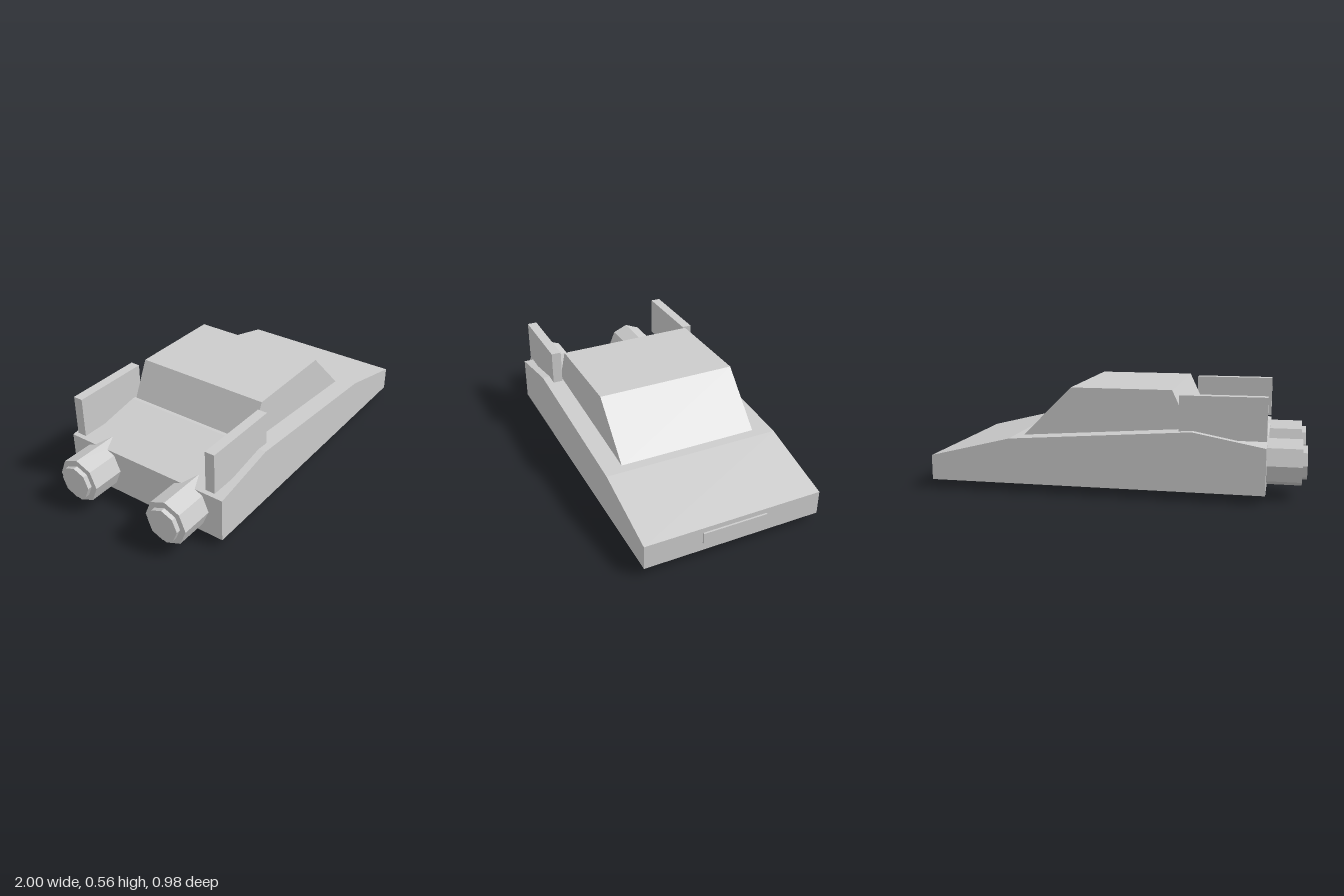
import * as THREE from 'three';

const material = new THREE.MeshStandardMaterial({ color: 0xcccccc, flatShading: true });

export function createModel() {
  const model = new THREE.Group();

  const add = (name, geometry, x = 0, y = 0, z = 0) => {
    const mesh = new THREE.Mesh(geometry, material);
    mesh.name = name;
    mesh.position.set(x, y, z);
    model.add(mesh);
    return mesh;
  };

  // Side profile in x/y, extruded across the full width
  const slab = (points, width) => {
    const shape = new THREE.Shape(points.map(([x, y]) => new THREE.Vector2(x, y)));
    return new THREE.ExtrudeGeometry(shape, { depth: width, bevelEnabled: false })
      .translate(0, 0, -width / 2);
  };

  // Box given by its limits in x and y and its depth in z
  const box = (name, x0, x1, y0, y1, depth, z = 0) =>
    add(name, new THREE.BoxGeometry(x1 - x0, y1 - y0, depth), (x0 + x1) / 2, (y0 + y1) / 2, z);

  // Wedge-shaped hull with its nose toward +x
  add('hull', slab([
    [-0.795, 0.046], [0.99, 0.046], [0.99, 0.18],
    [0.55, 0.288], [-0.42, 0.358], [-0.795, 0.288],
  ], 0.98));

  // Cabin with sloped windscreen and rear
  add('cabin', slab([
    [-0.425, 0.3], [0.49, 0.28], [0.5, 0.29], [0.235, 0.555], [-0.305, 0.555],
  ], 0.772));

  // Belly plate and nose plate
  box('bellyPlate', -0.57, 0.77, 0, 0.05, 0.536);
  box('nosePlate', 0.98, 1, 0.09, 0.153, 0.356);

  // Eight-sided tube lying along x, with corners at top and sides
  const tube = (name, x0, x1, radius, z) => {
    const geometry = new THREE.CylinderGeometry(radius, radius, x1 - x0, 8).rotateZ(Math.PI / 2);
    return add(name, geometry, (x0 + x1) / 2, 0.182, z);
  };

  // Fins and engines on both sides
  for (const [side, s] of [['front', 1], ['back', -1]]) {
    box(side + 'Fin', -0.795, -0.35, 0.315, 0.538, 0.054, s * 0.421);
    tube(side + 'Engine', -0.975, -0.6, 0.123, s * 0.286);
    tube(side + 'Nozzle', -1, -0.97, 0.09, s * 0.286);
  }

  return model;
}
